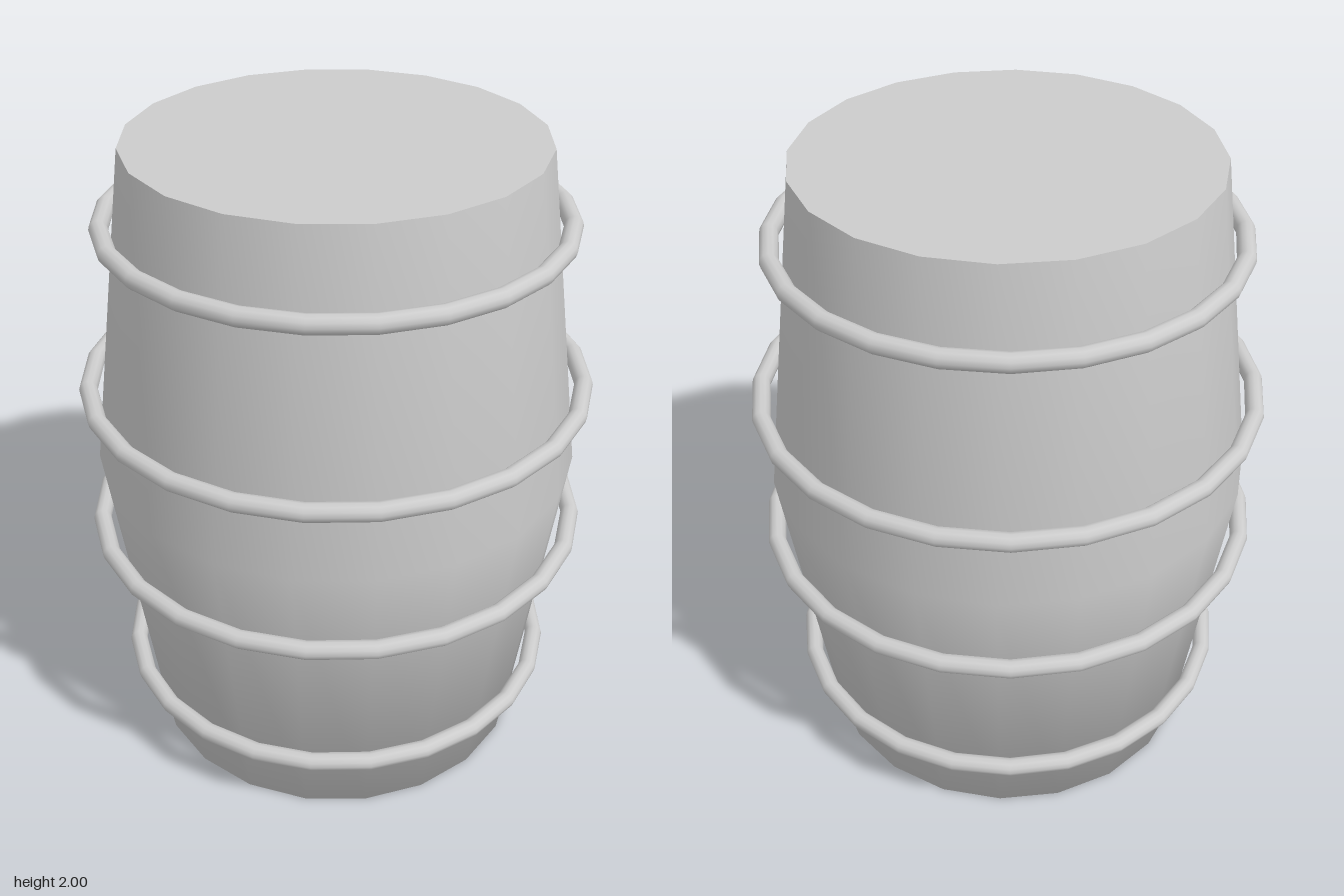
import * as THREE from 'three';

export function createModel() {
  const model = new THREE.Group();
  model.name = 'barrel';

  const grey = new THREE.MeshStandardMaterial({ color: 0xcccccc });
  grey.name = 'plain grey';

  const END_RADIUS = 0.615, BELLY_RADIUS = 0.75, SIDES = 20;

  function add(name, geometry, y = 0) {
    const mesh = new THREE.Mesh(geometry, grey);
    mesh.name = name;
    mesh.position.y = y;
    model.add(mesh);
  }

  // Bulging wall, shaded smoothly into the closed bottom
  const profile = [[0, 0], [END_RADIUS, 0], [BELLY_RADIUS, 1], [END_RADIUS, 2]]
    .map(([r, y]) => new THREE.Vector2(r, y));
  add('barrelBody', new THREE.LatheGeometry(profile, SIDES));

  // Flat lid with a sharp rim
  add('lid', new THREE.CircleGeometry(END_RADIUS, SIDES).rotateX(-Math.PI / 2), 2);

  // Loose round hoops
  const hoops = [
    ['bottomHoop', 0.243, 0.685],
    ['lowerHoop', 0.763, 0.762],
    ['upperHoop', 1.243, 0.762],
    ['topHoop', 1.763, 0.685],
  ];
  for (const [name, y, radius] of hoops) {
    add(name, new THREE.TorusGeometry(radius, 0.028, 12, 24).rotateX(Math.PI / 2), y);
  }

  return model;
}
